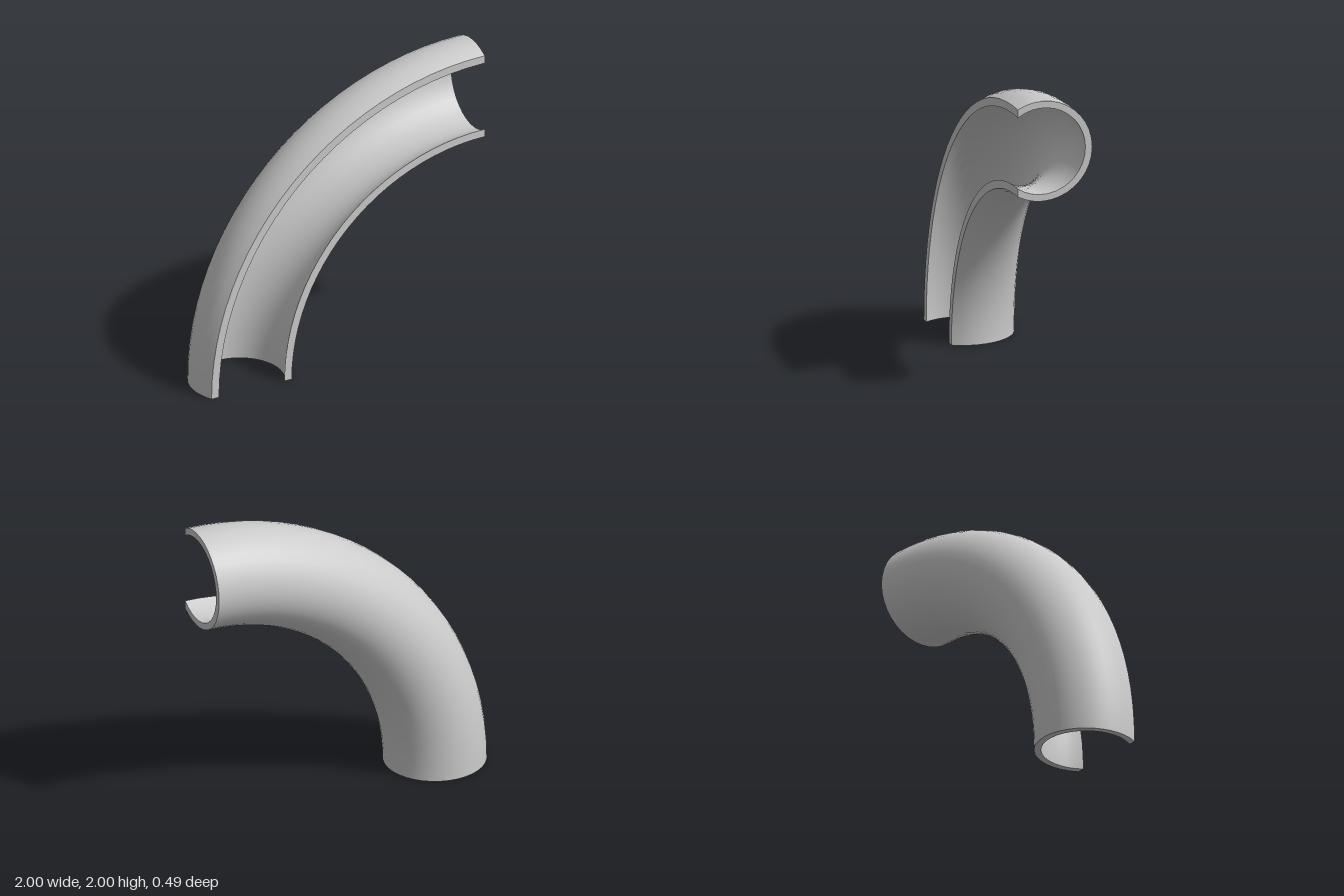
import * as THREE from 'three';

const BEND = 1.67;              // bend radius of the pipe's centre line
const OUTER = 0.33, INNER = 0.285;
const CUT = 0.162;              // height of the open cut above the pipe's centre
const CENTRE_Z = 0.085;
const SECTION_STEPS = 24, BEND_STEPS = 24;

// Arc of the cut pipe section as (bend radius, z), from the inside of the bend round the back
function sectionArc(radius) {
  const a = Math.asin(CUT / radius);
  const start = Math.PI - a, sweep = Math.PI + 2 * a;
  return Array.from({ length: SECTION_STEPS + 1 }, (_, i) => {
    const t = start + sweep * i / SECTION_STEPS;
    return new THREE.Vector2(BEND + radius * Math.cos(t), CENTRE_Z + radius * Math.sin(t));
  });
}

export function createModel() {
  const group = new THREE.Group();
  group.name = 'halfOpenPipeElbow';
  const material = new THREE.MeshStandardMaterial({ color: 0xcccccc });

  const add = (name, geometry) => {
    const mesh = new THREE.Mesh(geometry, material);
    mesh.name = name;
    group.add(mesh);
  };

  // Sweep a profile through the quarter bend around the z-parallel axis at x = 1
  const sweep = (name, points) => {
    const geometry = new THREE.LatheGeometry(points, BEND_STEPS, Math.PI, Math.PI / 2);
    add(name, geometry.rotateX(Math.PI / 2).translate(1, 0, 0));
  };

  const outer = sectionArc(OUTER);
  const inner = sectionArc(INNER).reverse();

  // Pipe walls and the flat rims along the cut
  sweep('outerWall', outer);
  sweep('innerWall', inner);
  sweep('outerBendRim', [outer.at(-1), inner[0]]);
  sweep('innerBendRim', [inner.at(-1), outer[0]]);

  // Flat end faces closing the wall thickness
  const endFace = () => new THREE.ShapeGeometry(new THREE.Shape([...outer, ...inner]))
    .applyMatrix4(new THREE.Matrix4().makeBasis(
      new THREE.Vector3(0, 1, 0), new THREE.Vector3(0, 0, 1), new THREE.Vector3(1, 0, 0)));
  add('upperEndFace', endFace().translate(1, 0, 0));

  const lower = endFace().rotateZ(Math.PI / 2).translate(1, 0, 0);
  lower.index.array.reverse();
  lower.computeVertexNormals();
  add('lowerEndFace', lower);

  return group;
}
